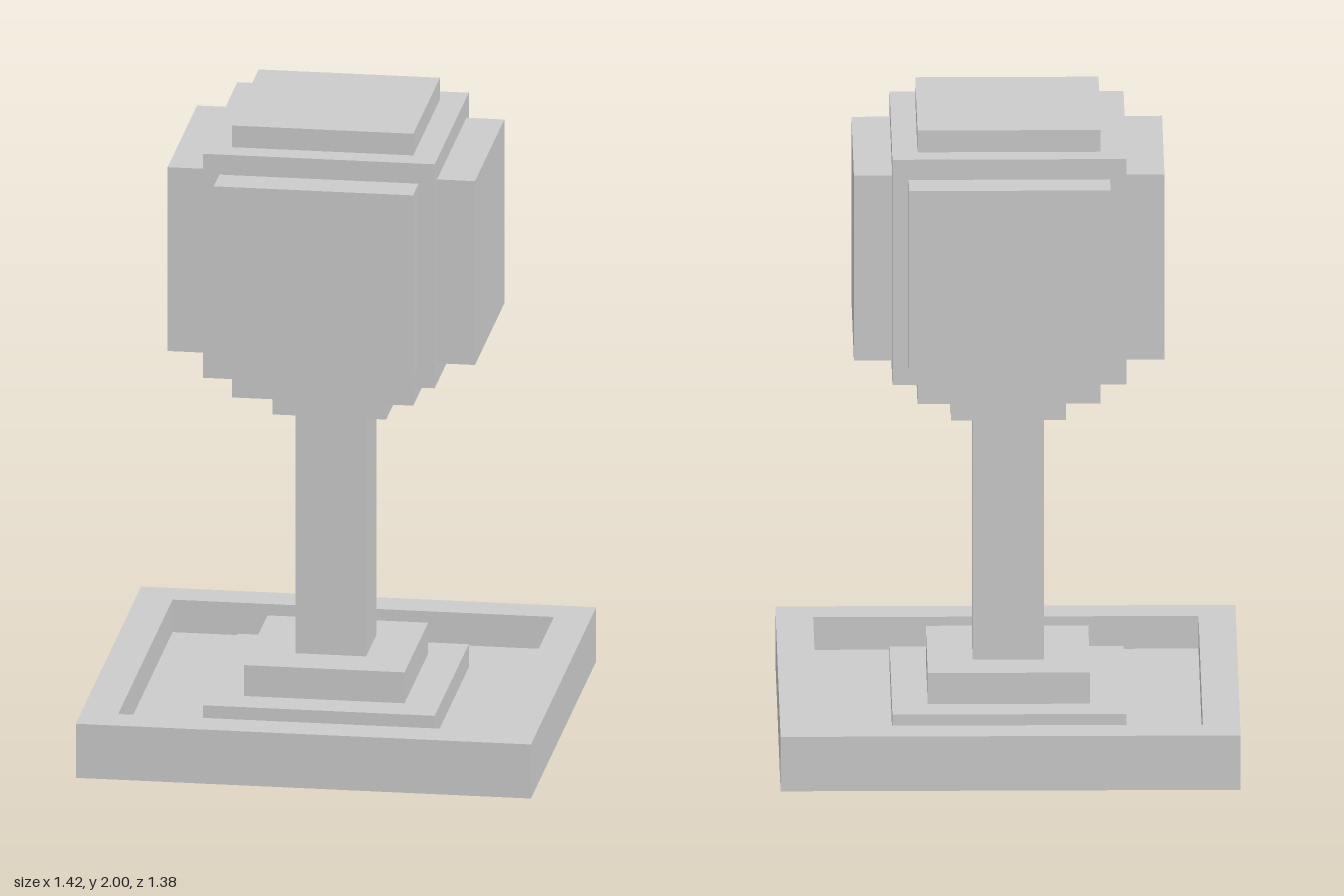
import * as THREE from 'three';

export function createModel() {
  const model = new THREE.Group();
  const material = new THREE.MeshStandardMaterial({ color: 0xcccccc, flatShading: true });

  // Box given by half widths in x and z, bottom and top heights, and centre
  const block = (name, halfX, halfZ, bottom, top, x = 0, z = 0) => {
    const mesh = new THREE.Mesh(new THREE.BoxGeometry(halfX * 2, top - bottom, halfZ * 2), material);
    mesh.position.set(x, (bottom + top) / 2, z);
    mesh.name = name;
    model.add(mesh);
  };

  // Planter: four border boards around a recessed floor
  const outerX = 0.708, outerZ = 0.69, innerX = 0.593, innerZ = 0.575;
  const boardX = (outerX - innerX) / 2, boardZ = (outerZ - innerZ) / 2;
  for (const [side, s] of [['left', 1], ['right', -1]]) {
    block(side + 'Border', boardX, innerZ, 0, 0.175, s * (innerX + boardX), 0);
  }
  for (const [side, s] of [['front', 1], ['back', -1]]) {
    block(side + 'Border', outerX, boardZ, 0, 0.175, 0, s * (innerZ + boardZ));
  }
  block('planterFloor', innerX, innerZ, 0.015, 0.07);

  // Stepped plinth and trunk
  block('lowerStep', 0.36, 0.36, 0.07, 0.145);
  block('upperStep', 0.25, 0.25, 0.145, 0.245);
  block('trunk', 0.11, 0.11, 0.245, 1.025);

  // Stepped underside, core and cap of the crown
  block('crownCollar', 0.177, 0.142, 1.025, 1.12);
  block('crownBase', 0.282, 0.282, 1.12, 1.205);
  block('crownCore', 0.36, 0.36, 1.205, 1.93);
  block('crownCap', 0.282, 0.282, 1.93, 2);

  // Raised panels on the four sides of the crown
  for (const [xSide, zSide, s] of [['left', 'front', 1], ['right', 'back', -1]]) {
    block(xSide + 'Panel', 0.06, 0.31, 1.27, 1.865, s * 0.418, 0);
    block(zSide + 'Panel', 0.31, 0.06, 1.27, 1.865, 0, s * 0.418);
  }
  return model;
}
